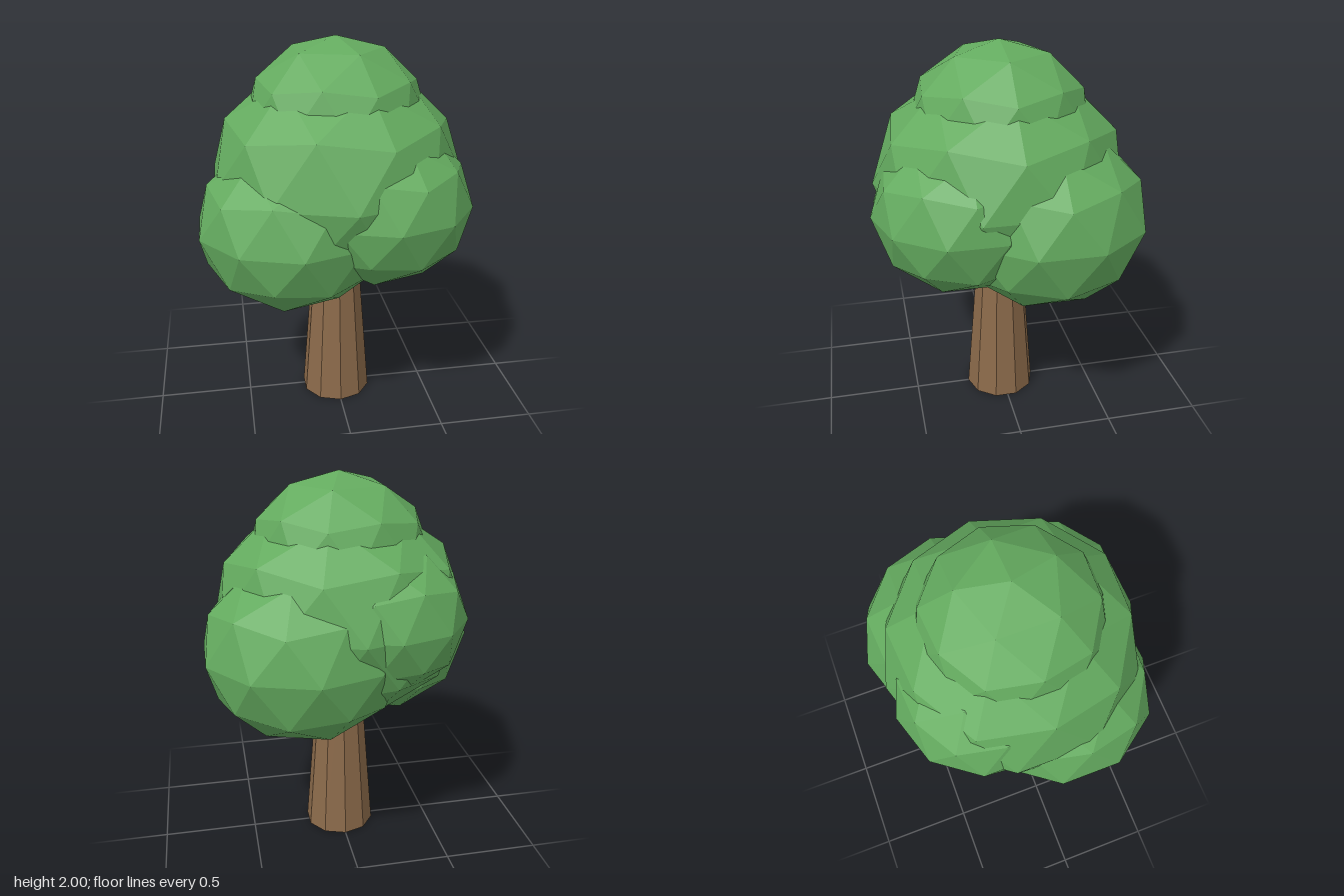
import * as THREE from 'three';

const leafGreen = new THREE.MeshStandardMaterial({ color: 0x64ab5f, flatShading: true, name: 'leafGreen' });
const barkBrown = new THREE.MeshStandardMaterial({ color: 0x8b6a4a, flatShading: true, name: 'barkBrown' });

// Faceted, slightly squashed ball of leaves with a corner at its top
function leafClump(name, [x, y, z], radius, halfHeight) {
  const geometry = new THREE.IcosahedronGeometry(1, 1);
  geometry.rotateZ(-Math.atan2(2, 1 + Math.sqrt(5)));
  geometry.scale(radius, halfHeight, radius);
  const mesh = new THREE.Mesh(geometry, leafGreen);
  mesh.name = name;
  mesh.position.set(x, y, z);
  return mesh;
}

export function createModel() {
  const tree = new THREE.Group();
  tree.name = 'tree';

  // Tapered ten-sided trunk, its top hidden in the leaves
  const height = 1.05;
  const trunk = new THREE.Mesh(new THREE.CylinderGeometry(0.108, 0.19, height, 10), barkBrown);
  trunk.name = 'trunk';
  trunk.position.set(0, height / 2, 0.01);
  tree.add(trunk);

  // Crown: large middle, smaller top and four lower clumps
  const crown = new THREE.Group();
  crown.name = 'crown';
  crown.add(
    leafClump('middleClump', [0, 1.305, 0.01], 0.656, 0.58),
    leafClump('topClump', [0, 1.59, 0.01], 0.466, 0.41),
    leafClump('frontRightClump', [-0.245, 1.096, 0.171], 0.494, 0.436),
    leafClump('backLeftClump', [0.217, 1.153, -0.181], 0.522, 0.465),
    leafClump('frontLeftClump', [0.192, 1.206, 0.234], 0.459, 0.408),
    leafClump('backRightClump', [-0.168, 1.31, -0.209], 0.437, 0.388),
  );
  tree.add(crown);
  return tree;
}
